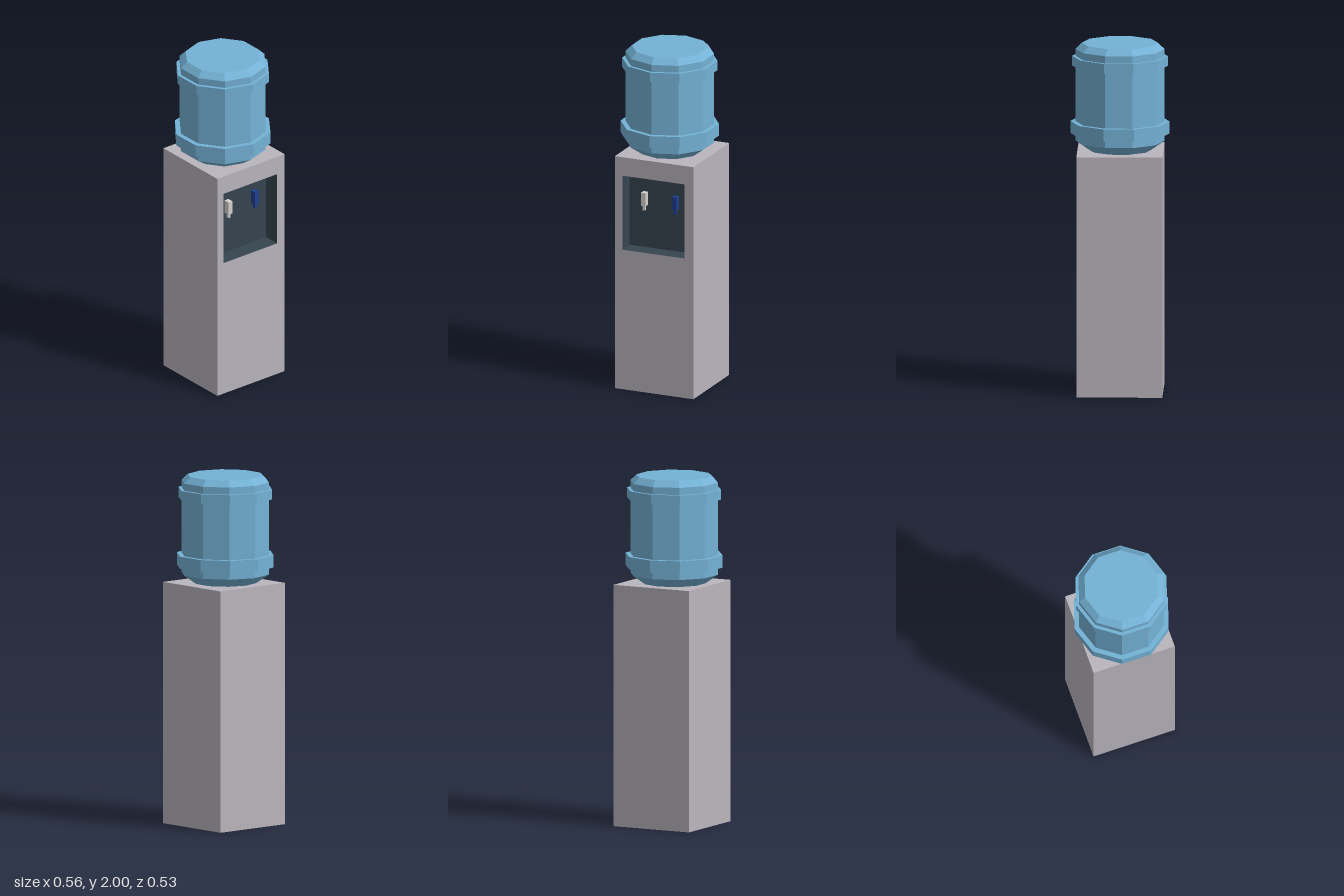
import * as THREE from 'three';

const mat = (color, side = THREE.FrontSide) =>
  new THREE.MeshStandardMaterial({ color, side, flatShading: true });

function add(parent, name, geometry, material, x = 0, y = 0, z = 0) {
  const mesh = new THREE.Mesh(geometry, material);
  mesh.name = name;
  mesh.position.set(x, y, z);
  parent.add(mesh);
  return mesh;
}

// Box without its +x face
function openBox(w, h, d) {
  const g = new THREE.BoxGeometry(w, h, d);
  g.setIndex(Array.from(g.index.array).slice(6));
  g.clearGroups();
  return g;
}

// Rectangle outline as a list of points
const rect = (u0, u1, v0, v1) => [
  new THREE.Vector2(u0, v0), new THREE.Vector2(u1, v0),
  new THREE.Vector2(u1, v1), new THREE.Vector2(u0, v1),
];

export function createModel() {
  const model = new THREE.Group();
  model.name = 'waterDispenser';
  const grey = mat(0xbab5bd);
  const dark = mat(0x36454f, THREE.DoubleSide);
  const blue = mat(0x74b2d6);

  // Cabinet: five closed sides and a panel with the niche opening on +x
  const cabinet = new THREE.Group();
  cabinet.name = 'cabinet';
  model.add(cabinet);
  const H = 1.385, faceX = 0.241, depth = 0.1;
  add(cabinet, 'cabinetShell', openBox(0.488, H, 0.49), grey, -0.003, H / 2, -0.013);
  const panel = new THREE.Shape(rect(-0.232, 0.258, 0, H));
  panel.holes.push(new THREE.Path(rect(-0.185, 0.203, 0.833, 1.275)));
  const panelGeo = new THREE.ShapeGeometry(panel).rotateY(Math.PI / 2);
  add(cabinet, 'tapPanel', panelGeo, grey, faceX, 0, 0);

  // Recessed niche
  add(cabinet, 'niche', openBox(depth, 0.442, 0.388), dark, faceX - depth / 2, 1.054, -0.009);

  // Taps on the niche's back wall
  const wallX = faceX - depth;
  for (const [name, z, color] of [['hotTap', 0.085, 0xd6d2cc], ['coldTap', -0.108, 0x1f3f8f]]) {
    const tap = new THREE.Group();
    tap.name = name;
    tap.position.set(wallX, 0, z);
    const m = mat(color);
    add(tap, 'tapBody', new THREE.BoxGeometry(0.036, 0.079, 0.028), m, 0.018, 1.126, 0);
    add(tap, 'tapSpout', new THREE.BoxGeometry(0.018, 0.028, 0.014), m, 0.018, 1.073, 0);
    model.add(tap);
  }

  // Ten-sided bottle with two raised bands
  const profile = [
    [0, 1.385], [0.18, 1.385], [0.253, 1.436],
    [0.253, 1.478], [0.281, 1.478], [0.281, 1.548], [0.253, 1.548],
    [0.253, 1.868], [0.272, 1.868], [0.272, 1.924], [0.253, 1.924],
    [0.253, 1.965], [0.217, 2], [0, 2],
  ].map(([r, y]) => new THREE.Vector2(r, y));
  add(model, 'bottle', new THREE.LatheGeometry(profile, 10, Math.PI / 2), blue, 0, 0, -0.001);

  return model;
}
